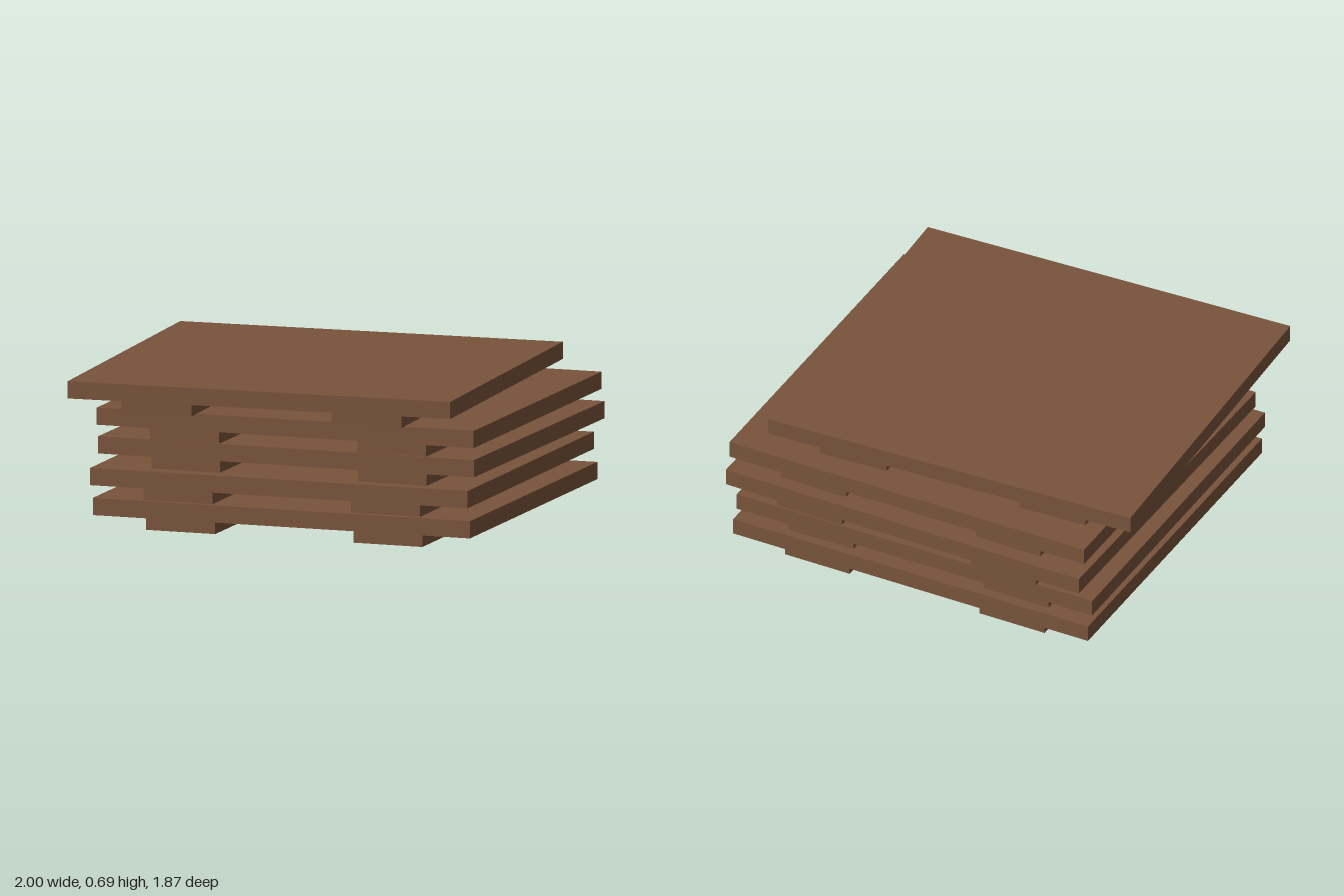
import * as THREE from 'three';

const WIDTH = 1.82, DEPTH = 1.685, DECK = 0.079, RUNNER = 0.06;

// x, z and turn of each pallet, from the bottom up
const STACK = [
  [0.0225, -0.0125, -0.046],
  [0.01, -0.005, -0.042],
  [0.0425, -0.0425, -0.055],
  [0.0425, -0.01, -0.047],
  [-0.0875, 0.0895, -0.004],
];

export function createModel() {
  const group = new THREE.Group();
  group.name = 'palletStack';
  const wood = new THREE.MeshStandardMaterial({ color: 0x78533b });
  wood.name = 'brown wood';

  const deckGeometry = new THREE.BoxGeometry(WIDTH, DECK, DEPTH);
  const runnerGeometry = new THREE.BoxGeometry(0.333, RUNNER, 1.605);

  STACK.forEach(([x, z, turn], i) => {
    const pallet = new THREE.Group();
    pallet.name = `pallet${i + 1}`;
    pallet.position.set(x, i * (DECK + RUNNER), z);
    pallet.rotation.y = turn;

    // flat deck
    const deck = new THREE.Mesh(deckGeometry, wood);
    deck.name = 'deck';
    deck.position.y = RUNNER + DECK / 2;
    pallet.add(deck);

    // two runners below the deck
    for (const side of [-1, 1]) {
      const runner = new THREE.Mesh(runnerGeometry, wood);
      runner.name = side < 0 ? 'rightRunner' : 'leftRunner';
      runner.position.set(side * 0.5, RUNNER / 2, 0);
      pallet.add(runner);
    }
    group.add(pallet);
  });
  return group;
}
